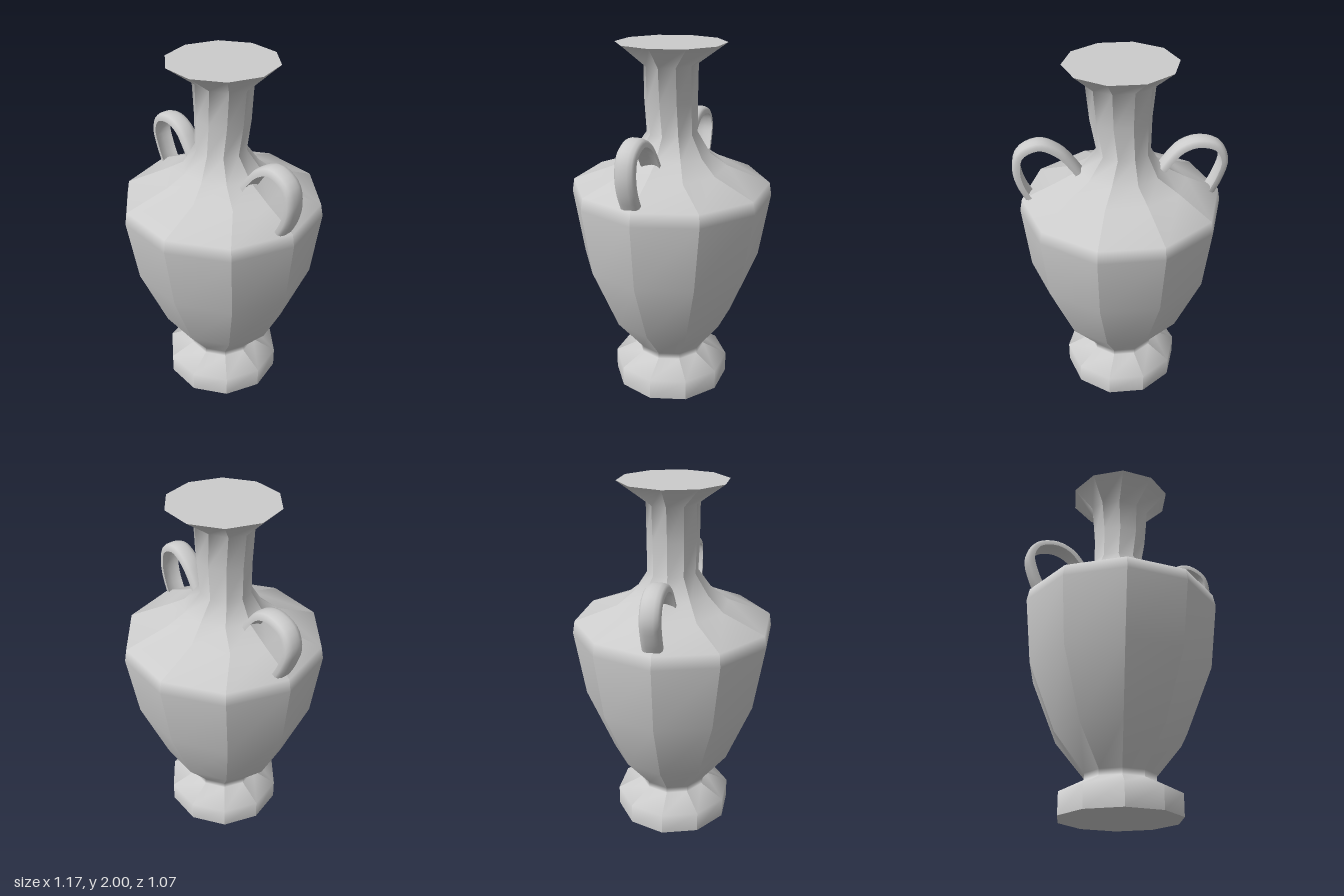
import * as THREE from 'three';
import { mergeGeometries, toCreasedNormals } from 'three/addons/utils/BufferGeometryUtils.js';

const SIDES = 10;
const material = new THREE.MeshStandardMaterial({ color: 0xcccccc });

// Body rings from the foot to the mouth: [y, radius along x, radius along z, x offset]
const RINGS = [
  [0, 0.336, 0.338, 0],
  [0.12, 0.336, 0.338, 0],
  [0.19, 0.2, 0.198, 0],
  [0.225, 0.2, 0.198, 0],
  [0.43, 0.37, 0.352, 0],
  [0.8, 0.522, 0.502, 0],
  [1.17, 0.56, 0.562, 0],
  [1.24, 0.546, 0.55, 0],
  [1.33, 0.36, 0.307, 0],
  [1.405, 0.225, 0.215, 0],
  [1.52, 0.146, 0.139, -0.015],
  [1.7, 0.164, 0.142, 0],
  [1.89, 0.182, 0.142, 0],
  [2, 0.297, 0.298, 0],
];

function makeGeometry(positions, index) {
  const g = new THREE.BufferGeometry();
  g.setAttribute('position', new THREE.Float32BufferAttribute(positions, 3));
  g.setIndex(index);
  g.computeVertexNormals();
  return g;
}

// Each facet is its own strip: smooth up the profile, sharp between facets
function bodyGeometry() {
  const strips = [];
  for (let s = 0; s < SIDES; s++) {
    const positions = [], index = [];
    RINGS.forEach(([y, rx, rz, dx], i) => {
      for (const k of [s, s + 1]) {
        const a = (k / SIDES) * Math.PI * 2;
        positions.push(dx + rx * Math.cos(a), y, rz * Math.sin(a));
      }
      if (i > 0) {
        const p = 2 * (i - 1);
        index.push(p, p + 2, p + 1, p + 1, p + 2, p + 3);
      }
    });
    strips.push(makeGeometry(positions, index));
  }
  return mergeGeometries(strips);
}

function disc(name, ring, tilt) {
  const [y, rx, rz] = ring;
  const mesh = new THREE.Mesh(new THREE.CircleGeometry(1, SIDES), material);
  mesh.name = name;
  mesh.scale.set(rx, rz, 1);
  mesh.rotation.x = tilt;
  mesh.position.y = y;
  return mesh;
}

// Handle cross-section as (outward, sideways): rounded outside, hollow inside
const SECTION = [
  [-0.022, -0.054], [0, -0.053], [0.013, -0.043], [0.02, -0.022], [0.021, 0],
  [0.02, 0.022], [0.013, 0.043], [0, 0.053], [-0.022, 0.054],
  [-0.012, 0.036], [-0.005, 0], [-0.012, -0.036],
];

// Sweeps the section along a planar arc; side is +1 or -1 along x
function handleGeometry(points, side, zStart, zEnd) {
  const curve = new THREE.CatmullRomCurve3(
    points.map(([x, y]) => new THREE.Vector3(side * x, y, 0)), false, 'centripetal');
  const steps = 24, n = SECTION.length;
  const positions = [], index = [];
  for (let i = 0; i <= steps; i++) {
    const p = curve.getPointAt(i / steps), t = curve.getTangentAt(i / steps);
    const z = THREE.MathUtils.lerp(zStart, zEnd, i / steps);
    for (const [out, w] of SECTION) {
      positions.push(p.x + side * t.y * out, p.y - side * t.x * out, z + side * w);
    }
  }
  for (let i = 0; i < steps; i++) {
    for (let j = 0; j < n; j++) {
      const a = i * n + j, b = i * n + (j + 1) % n;
      index.push(a, a + n, b, b, a + n, b + n);
    }
  }
  // End caps
  const outline = SECTION.map(([x, y]) => new THREE.Vector2(x, y));
  for (const [a, b, c] of THREE.ShapeUtils.triangulateShape(outline, [])) {
    const last = steps * n;
    index.push(a, b, c, last + a, last + c, last + b);
  }
  return toCreasedNormals(makeGeometry(positions, index), 0.75);
}

export function createModel() {
  const group = new THREE.Group();
  group.name = 'amphora';

  const body = new THREE.Mesh(bodyGeometry(), material);
  body.name = 'body';
  group.add(body);
  group.add(disc('mouth', RINGS[RINGS.length - 1], -Math.PI / 2));
  group.add(disc('footBase', RINGS[0], Math.PI / 2));

  const handleMaterial = material.clone();
  handleMaterial.side = THREE.DoubleSide;
  const handles = [
    ['leftHandle', 1, 0.02, 0.02, [
      [0.5, 1.235], [0.545, 1.33], [0.562, 1.43], [0.535, 1.525],
      [0.43, 1.57], [0.33, 1.525], [0.27, 1.46], [0.225, 1.395]]],
    ['rightHandle', -1, -0.006, 0.008, [
      [0.49, 1.235], [0.535, 1.33], [0.562, 1.44], [0.52, 1.525],
      [0.41, 1.553], [0.32, 1.52], [0.26, 1.455], [0.215, 1.39]]],
  ];
  for (const [name, side, z0, z1, points] of handles) {
    const mesh = new THREE.Mesh(handleGeometry(points, side, z0, z1), handleMaterial);
    mesh.name = name;
    group.add(mesh);
  }
  return group;
}
